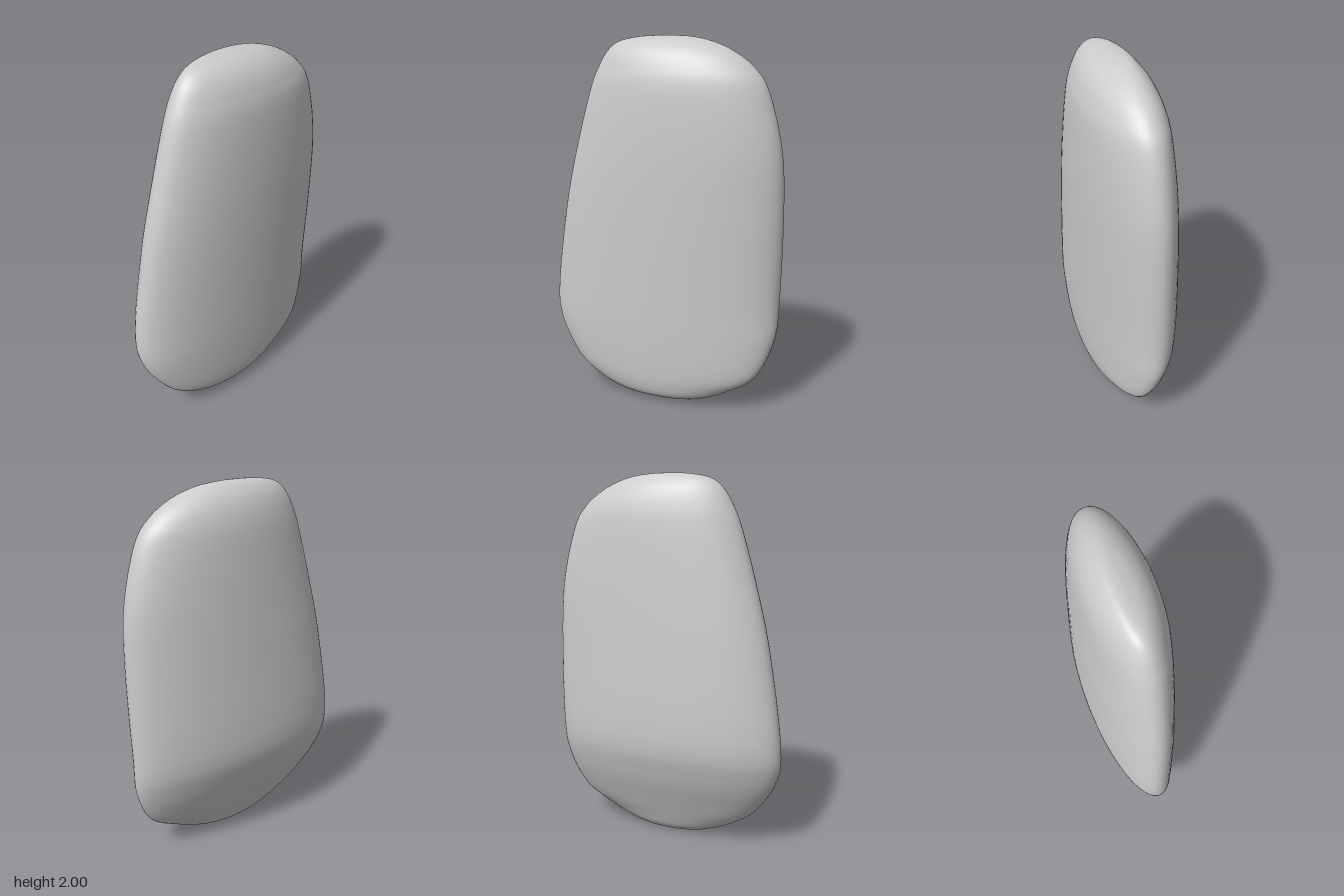
import * as THREE from 'three';

// Horizontal sections of the stone: [y, zFront, zBack, xMin, xMax]
const SECTIONS = [
  [0, -0.01, -0.01, 0.06, 0.06],
  [0.01, 0.15, -0.15, 0.02, 0.105],
  [0.04, 0.27, -0.26, -0.015, 0.155],
  [0.1, 0.4, -0.39, -0.05, 0.185],
  [0.2, 0.525, -0.54, -0.1, 0.205],
  [0.4, 0.64, -0.63, -0.19, 0.215],
  [0.62, 0.655, -0.65, -0.237, 0.22],
  [1.1, 0.58, -0.655, -0.215, 0.232],
  [1.43, 0.5, -0.635, -0.192, 0.235],
  [1.72, 0.415, -0.56, -0.17, 0.222],
  [1.84, 0.365, -0.48, -0.152, 0.193],
  [1.92, 0.315, -0.37, -0.125, 0.148],
  [1.97, 0.25, -0.25, -0.09, 0.088],
  [1.993, 0.14, -0.13, -0.06, 0.025],
  [2, 0.01, 0.01, -0.025, -0.025],
];
const SHEAR = -0.12; // the slab's long axis turns slightly towards -x at the front
const SIDES = 64;
const RINGS = 84;

const spline = (a, b) => new THREE.CatmullRomCurve3(
  SECTIONS.map((s) => new THREE.Vector3(s[a], s[0], s[b])), false, 'catmullrom', 0.5);

function stoneGeometry() {
  const depth = spline(1, 2);
  const width = spline(3, 4);
  const positions = [];
  const index = [];

  // Bottom pole, sheared elliptical rings, top pole
  const pole = (s) => positions.push(s[3], s[0], s[1]);
  pole(SECTIONS[0]);
  for (let i = 1; i < RINGS; i++) {
    const d = depth.getPoint(i / RINGS);
    const w = width.getPoint(i / RINGS);
    const cz = (d.x + d.z) / 2, rz = (d.x - d.z) / 2;
    const cx = (w.x + w.z) / 2, hx = (w.z - w.x) / 2;
    const lean = SHEAR * rz;
    const rx = Math.sqrt(Math.max(hx * hx - lean * lean, hx * hx * 0.2));
    for (let j = 0; j < SIDES; j++) {
      const t = (j / SIDES) * Math.PI * 2;
      positions.push(cx + rx * Math.cos(t) + lean * Math.sin(t), d.y, cz + rz * Math.sin(t));
    }
  }
  pole(SECTIONS[SECTIONS.length - 1]);

  // Join neighbouring rings and close the poles
  const top = 1 + (RINGS - 1) * SIDES;
  const at = (i, j) => (i === 0 ? 0 : i === RINGS ? top : 1 + (i - 1) * SIDES + (j % SIDES));
  for (let i = 0; i < RINGS; i++) {
    for (let j = 0; j < SIDES; j++) {
      const a = at(i, j), b = at(i + 1, j), c = at(i, j + 1), d = at(i + 1, j + 1);
      if (i > 0) index.push(a, b, c);
      if (i < RINGS - 1) index.push(c, b, d);
    }
  }

  const geometry = new THREE.BufferGeometry();
  geometry.setAttribute('position', new THREE.Float32BufferAttribute(positions, 3));
  geometry.setIndex(index);
  geometry.computeVertexNormals();
  return geometry;
}

export function createModel() {
  const group = new THREE.Group();
  group.name = 'standingStone';
  const stone = new THREE.Mesh(stoneGeometry(), new THREE.MeshStandardMaterial({ color: 0xcccccc }));
  stone.name = 'stone';
  group.add(stone);
  return group;
}
